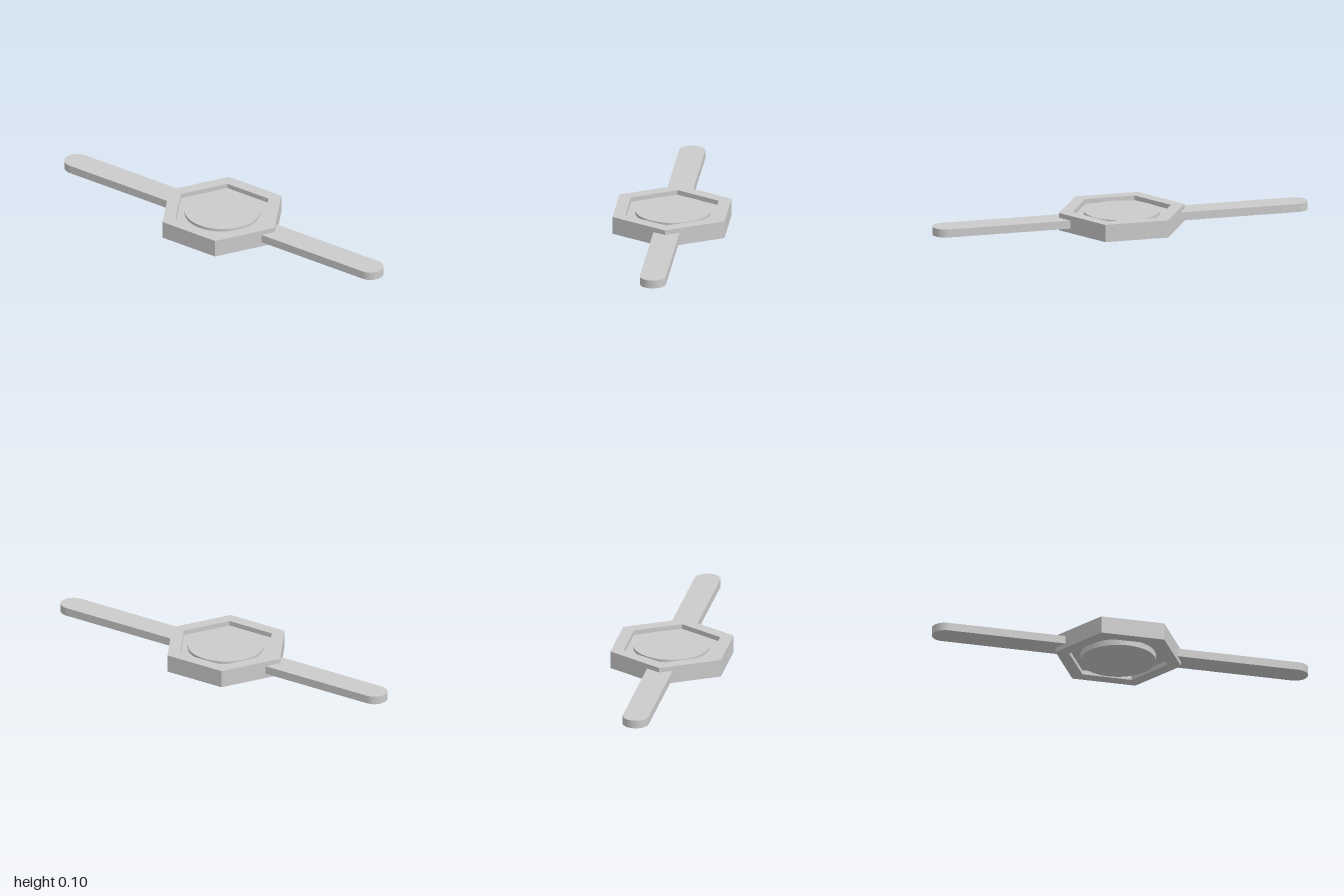
import * as THREE from 'three';

const CX = -0.01; // the case sits slightly off the strap's middle
const material = new THREE.MeshStandardMaterial({ color: 0xcccccc });

function hexagon(PathType, radius) {
  const path = new PathType();
  for (let i = 0; i < 6; i++) {
    const a = (i * Math.PI) / 3;
    path[i ? 'lineTo' : 'moveTo'](radius * Math.cos(a), radius * Math.sin(a));
  }
  path.closePath();
  return path;
}

// Extrudes a flat outline upward from y0 to y1
function slab(name, shape, y0, y1, x, z) {
  const geometry = new THREE.ExtrudeGeometry(shape, { depth: y1 - y0, bevelEnabled: false, curveSegments: 20 });
  geometry.rotateX(-Math.PI / 2);
  const mesh = new THREE.Mesh(geometry, material);
  mesh.name = name;
  mesh.position.set(x, y0, z);
  return mesh;
}

export function createModel() {
  const group = new THREE.Group();
  group.name = 'hexagonalBand';

  // Hexagonal frame, open through the middle
  const frame = hexagon(THREE.Shape, 0.335);
  frame.holes.push(hexagon(THREE.Path, 0.262));
  group.add(slab('hexFrame', frame, 0.008, 0.1, CX, 0));

  // Recessed plate closing the frame
  group.add(slab('framePlate', hexagon(THREE.Shape, 0.264), 0.032, 0.075, CX, 0));

  // Round disc standing proud of the plate on both sides
  const disc = new THREE.Mesh(new THREE.CylinderGeometry(0.195, 0.195, 0.09, 64), material);
  disc.name = 'centerDisc';
  disc.position.set(CX, 0.045, -0.004);
  group.add(disc);

  // Two straps with rounded tips, rooted in the frame wall
  const r = 0.0675;
  for (const side of [1, -1]) {
    const root = 0.27 + side * CX;
    const strap = new THREE.Shape();
    strap.moveTo(root, -r);
    strap.lineTo(1 - r, -r);
    strap.absarc(1 - r, 0, r, -Math.PI / 2, Math.PI / 2, false);
    strap.lineTo(root, r);
    strap.closePath();
    const mesh = slab(side > 0 ? 'leftStrap' : 'rightStrap', strap, 0.032, 0.075, 0, -0.004);
    if (side < 0) mesh.rotation.y = Math.PI;
    group.add(mesh);
  }
  return group;
}
